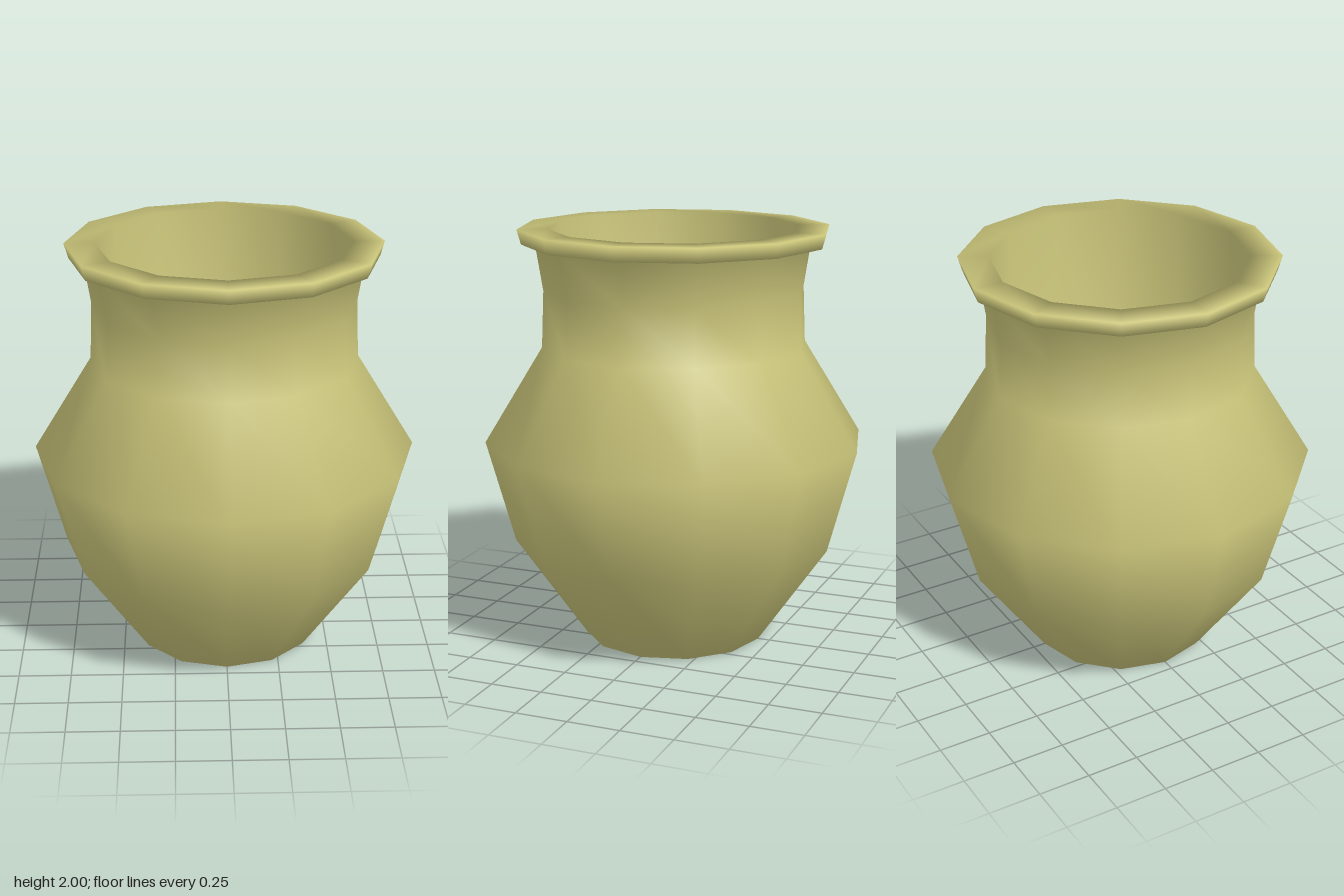
import * as THREE from 'three';
import { mergeVertices } from 'three/addons/utils/BufferGeometryUtils.js';

const SIDES = 12;

// [radius, height] from the underside, up the outer wall and down inside
const PROFILE = [
  [0, 0], [0.44, 0],                              // flat underside
  [0.78, 0.49], [0.915, 0.985], [0.636, 1.44],    // belly and shoulder
  [0.625, 1.71], [0.66, 1.93],                    // neck
  [0.725, 1.93], [0.745, 2], [0.6, 2],            // lip
  [0.6, 0.45], [0, 0.45],                         // straight inner wall and floor
];

export function createModel() {
  const model = new THREE.Group();
  model.name = 'pot';

  // One turned skin, welded so the shading runs smoothly over every edge
  const points = PROFILE.map(([r, y]) => new THREE.Vector2(r, y));
  const turned = new THREE.LatheGeometry(points, SIDES);
  turned.deleteAttribute('normal');
  turned.deleteAttribute('uv');
  const skin = mergeVertices(turned);
  skin.computeVertexNormals();

  const body = new THREE.Mesh(skin, new THREE.MeshStandardMaterial({ color: 0xc9c479 }));
  body.name = 'potBody';
  model.add(body);

  return model;
}
